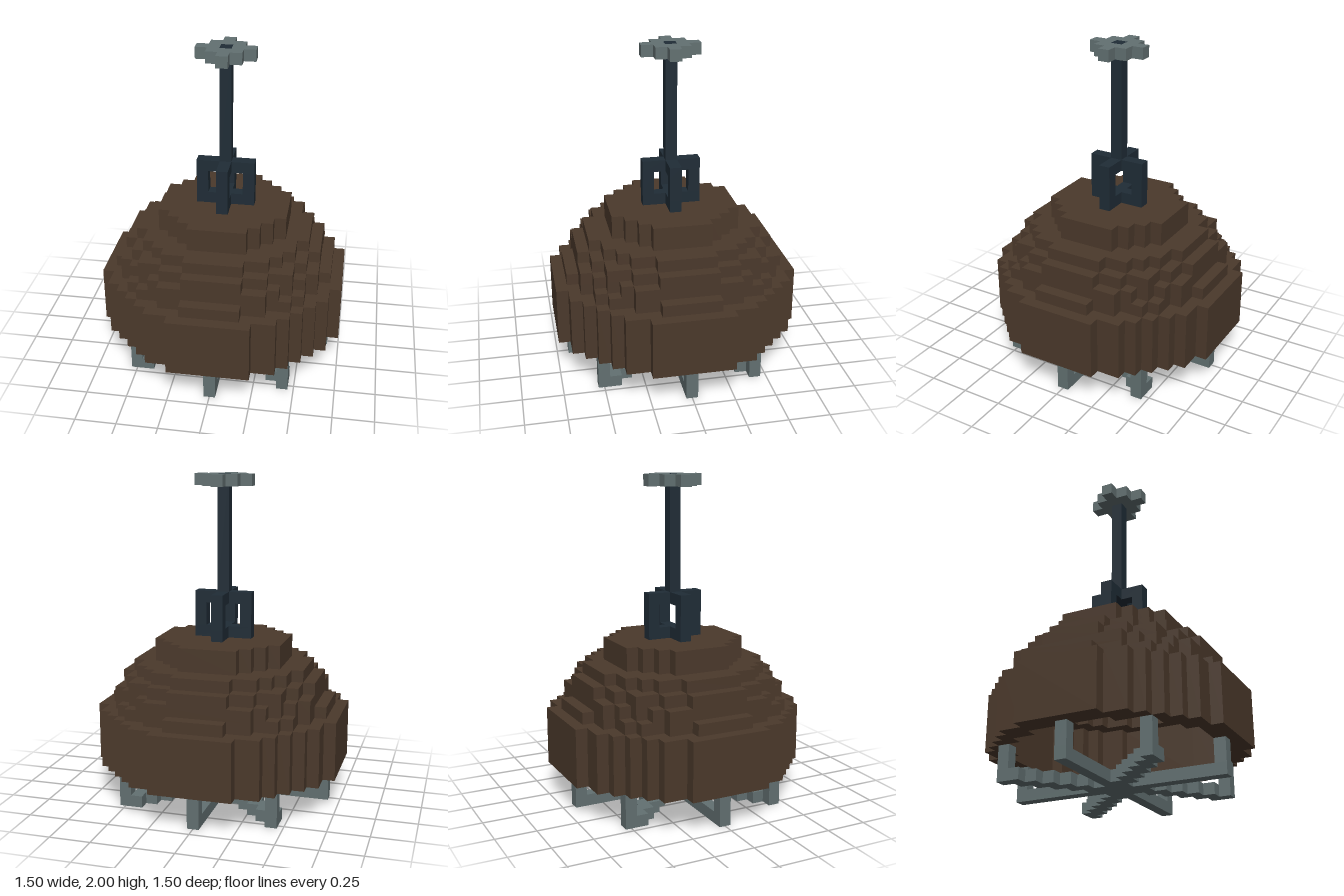
import * as THREE from 'three';

const U = 1 / 14; // edge of one block

const material = (name, color) => {
  const m = new THREE.MeshStandardMaterial({ color });
  m.name = name;
  return m;
};

// Stepped outline of all blocks whose centres lie within radius r
function steppedCircle(r) {
  const n = Math.floor(r);
  const half = (j) => Math.floor(Math.sqrt(r * r - j * j)) + 0.5;
  const right = [];
  for (let j = -n; j <= n; j++) {
    const h = half(j);
    if (j === -n || half(j - 1) !== h) right.push([h, j - 0.5]);
    if (j === n || half(j + 1) !== h) right.push([h, j + 0.5]);
  }
  const left = right.map(([x, y]) => [-x, y]).reverse();
  return [...right, ...left].map(([x, y]) => new THREE.Vector2(x * U, y * U));
}

export function createModel() {
  const brown = material('brown', 0x4b392b);
  const grey = material('grey', 0x627071);
  const navy = material('dark blue', 0x1f2c36);
  const model = new THREE.Group();

  const part = (name) => {
    const g = new THREE.Group();
    g.name = name;
    model.add(g);
    return g;
  };

  // Box spanning whole blocks: centre cx, cz and size w, d, from height y0 to y1
  const block = (parent, name, mat, cx, cz, w, d, y0, y1) => {
    const mesh = new THREE.Mesh(new THREE.BoxGeometry(w * U, (y1 - y0) * U, d * U), mat);
    mesh.position.set(cx * U, ((y0 + y1) / 2) * U, cz * U);
    mesh.name = name;
    parent.add(mesh);
  };

  // Hollow stepped dome: bottom, top, outer radius, inner radius
  const dome = part('dome');
  const layers = [
    [3, 8, 10.5, 8.7],
    [8, 9, 9.4, 7.5],
    [9, 10, 8.98, 7.5],
    [10, 11, 8.5, 7.5],
    [11, 12, 7.5, 0],
    [12, 14, 5.5, 0],
  ];
  for (const [y0, y1, outer, inner] of layers) {
    const shape = new THREE.Shape(steppedCircle(outer));
    if (inner) shape.holes.push(new THREE.Path(steppedCircle(inner).reverse()));
    const geo = new THREE.ExtrudeGeometry(shape, { depth: (y1 - y0) * U, bevelEnabled: false });
    geo.rotateX(-Math.PI / 2);
    const mesh = new THREE.Mesh(geo, brown);
    mesh.position.y = y0 * U;
    mesh.name = 'domeLayer';
    dome.add(mesh);
  }

  // Base: a straight and a stepped diagonal spoke, repeated at quarter turns
  const base = part('base');
  block(base, 'hub', grey, 0, 0, 1, 1, 0, 1);
  for (let q = 0; q < 4; q++) {
    const quarter = new THREE.Group();
    quarter.name = 'spokes';
    quarter.rotation.y = (q * Math.PI) / 2;
    base.add(quarter);
    block(quarter, 'straightSpoke', grey, 5, 0, 9, 1, 0, 1);
    block(quarter, 'straightPost', grey, 9, 0, 1, 1, 1, 3);
    for (let k = 1; k <= 6; k++) block(quarter, 'diagonalSpoke', grey, k, k + 0.5, 1, 2, 0, 1);
    block(quarter, 'diagonalPost', grey, 6, 7, 1, 1, 1, 3);
  }

  // Open cage made of two crossed square loops
  const cage = part('cage');
  for (const y of [14, 17]) {
    block(cage, 'crossBarX', navy, 0, 0, 5, 1, y, y + 1);
    for (const s of [-1, 1]) block(cage, 'crossBarZ', navy, 0, s * 1.5, 1, 2, y, y + 1);
  }
  for (const s of [-2, 2]) {
    block(cage, 'cagePost', navy, s, 0, 1, 1, 15, 17);
    block(cage, 'cagePost', navy, 0, s, 1, 1, 15, 17);
  }

  // Rod running up through the cap
  block(model, 'rod', navy, 0, 0, 1, 1, 18, 28);

  // Cap around the rod's end
  const cap = part('cap');
  for (const s of [-1, 1]) {
    block(cap, 'capSide', grey, 0, s, 3, 1, 27, 28);
    block(cap, 'capMiddle', grey, s, 0, 1, 1, 27, 28);
    block(cap, 'capTip', grey, s * 2, 0, 1, 1, 27, 28);
    block(cap, 'capTip', grey, 0, s * 2, 1, 1, 27, 28);
  }
  return model;
}
